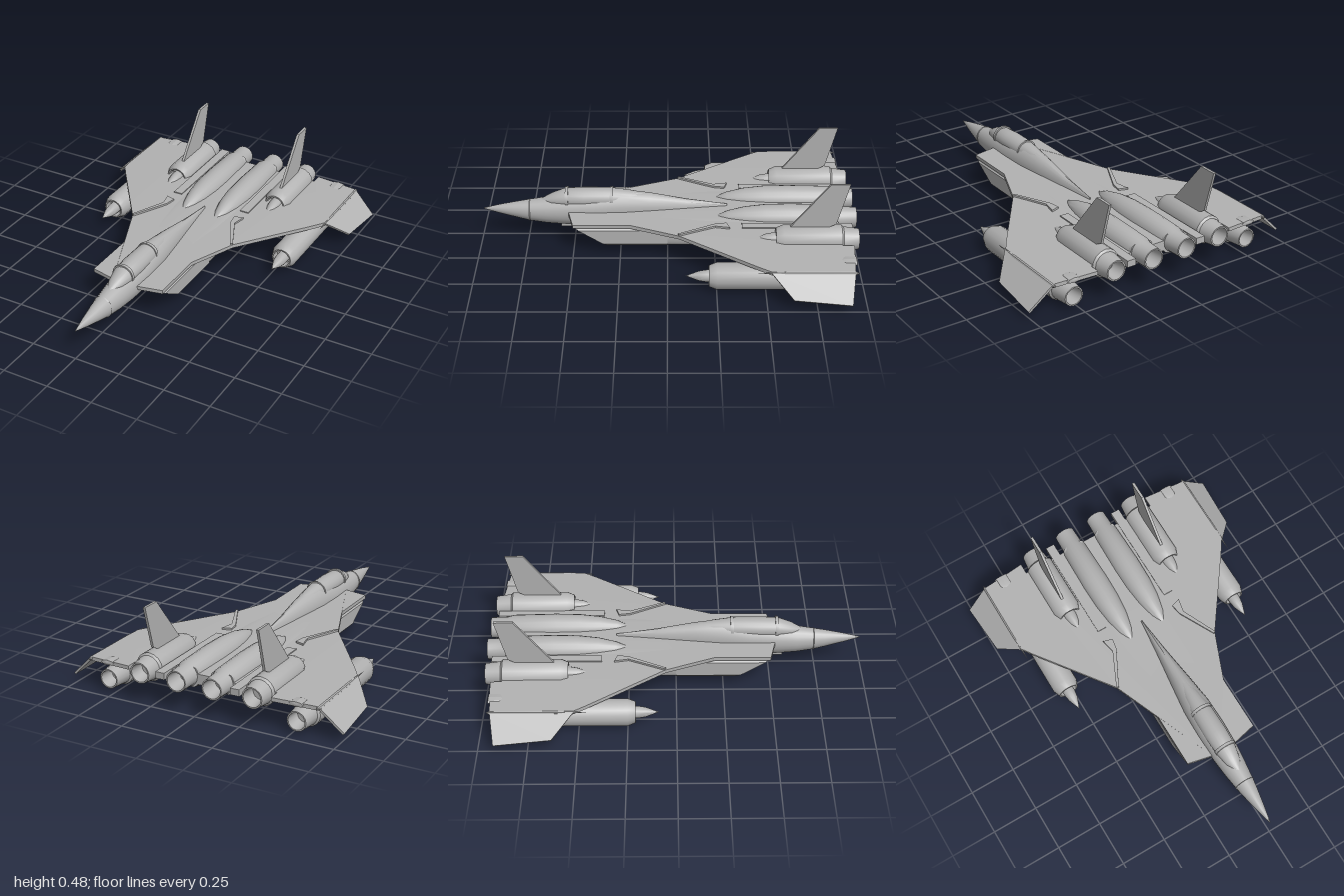
import * as THREE from 'three';
import { toCreasedNormals } from 'three/addons/utils/BufferGeometryUtils.js';

const grey = new THREE.MeshStandardMaterial({ color: 0xb2b2b2, side: THREE.DoubleSide });
grey.name = 'airframe grey';

export function createModel() {
  const model = new THREE.Group();
  model.name = 'jetAircraft';

  const add = (name, geo, x = 0, y = 0, z = 0) => {
    const mesh = new THREE.Mesh(toCreasedNormals(geo, 0.6), grey);
    mesh.name = name;
    mesh.position.set(x, y, z);
    model.add(mesh);
    return mesh;
  };
  const box = (name, x, y, z, w, h, d) => add(name, new THREE.BoxGeometry(w, h, d), x, y, z);

  // Skin through cross-sections [z, centreX, halfWidth, bottom, top], front to back
  const loft = (sections, power = 1, n = 20) => {
    const pos = [], idx = [];
    const bend = v => Math.sign(v) * Math.abs(v) ** power;
    sections.forEach(([z, cx, w, lo, hi]) => {
      for (let j = 0; j < n; j++) {
        const a = (j / n) * Math.PI * 2;
        pos.push(cx + w * bend(Math.cos(a)), (lo + hi) / 2 + (hi - lo) / 2 * bend(Math.sin(a)), z);
      }
    });
    for (let i = 0; i < sections.length - 1; i++) {
      for (let j = 0; j < n; j++) {
        const a = i * n + j, b = i * n + (j + 1) % n;
        idx.push(a, a + n, b, b, a + n, b + n);
      }
    }
    const last = (sections.length - 1) * n;
    for (let j = 1; j < n - 1; j++) idx.push(0, j, j + 1, last, last + j + 1, last + j);
    const geo = new THREE.BufferGeometry();
    geo.setAttribute('position', new THREE.Float32BufferAttribute(pos, 3));
    geo.setIndex(idx);
    return geo;
  };

  // Round body along z from [radius, z] points, back to front
  const turned = (profile, n = 16) =>
    new THREE.LatheGeometry(profile.map(p => new THREE.Vector2(...p)), n).rotateX(Math.PI / 2);

  // Flat plate from an [x, z] outline
  const plate = (outline, thick) => {
    const shape = new THREE.Shape(outline.map(([x, z]) => new THREE.Vector2(x, -z)));
    return new THREE.ExtrudeGeometry(shape, { depth: thick, bevelEnabled: false }).rotateX(-Math.PI / 2);
  };

  // Fuselage with the spine tapering to the rear
  add('fuselage', loft([
    [0.99, 0, 0.002, 0.165, 0.17], [0.9, 0, 0.022, 0.138, 0.19], [0.8, 0, 0.042, 0.113, 0.208],
    [0.74, 0, 0.052, 0.098, 0.218], [0.65, 0, 0.064, 0.085, 0.232], [0.55, 0, 0.074, 0.078, 0.25],
    [0.4, 0, 0.078, 0.075, 0.265], [0.25, 0, 0.073, 0.08, 0.277], [0.1, 0, 0.055, 0.09, 0.26],
    [-0.1, 0, 0.03, 0.1, 0.225], [-0.32, 0, 0.005, 0.13, 0.195],
  ]));
  add('noseRing', turned([[0.052, -0.004], [0.055, 0], [0.052, 0.004]], 20), 0, 0.158, 0.742).scale.y = 1.13;

  // Canopy and its frames
  add('canopy', loft([
    [0.68, 0, 0.012, 0.2, 0.226], [0.62, 0, 0.04, 0.19, 0.258], [0.55, 0, 0.055, 0.18, 0.285],
    [0.45, 0, 0.06, 0.18, 0.29], [0.32, 0, 0.057, 0.18, 0.29], [0.2, 0, 0.045, 0.18, 0.275], [0.05, 0, 0.02, 0.17, 0.25],
  ]));
  for (const z of [0.54, 0.3]) {
    add('canopyFrame', loft([[z + 0.008, 0, 0.06, 0.18, 0.293], [z - 0.008, 0, 0.06, 0.18, 0.294]]));
  }
  box('chinSensor', 0, 0.073, 0.54, 0.03, 0.02, 0.07);

  // Belly keel with vertical vanes in its front
  add('bellyKeel', loft([
    [0.32, 0, 0.05, 0.06, 0.13], [0.26, 0, 0.055, 0.03, 0.14], [0, 0, 0.055, 0.033, 0.15],
    [-0.2, 0, 0.05, 0.045, 0.16], [-0.5, 0, 0.045, 0.09, 0.16],
  ], 0.3));
  for (let i = -2; i <= 2; i++) box('keelVane', i * 0.019, 0.07, 0.3, 0.006, 0.06, 0.06);

  // Central hull behind the cockpit
  add('centreHull', loft([
    [0.2, 0, 0.18, 0.12, 0.18], [-0.4, 0, 0.19, 0.1, 0.185], [-0.7, 0, 0.2, 0.11, 0.185], [-0.9, 0, 0.18, 0.13, 0.185],
  ], 0.35));

  // Pod with an open front, a spike and a hollow nozzle
  const pod = (name, x, y, front, back, bodyBack, r) => {
    add(name, turned([
      [0, back + 0.08], [r * 0.5, back + 0.08], [r * 0.62, back], [r * 0.72, back], [r * 0.86, bodyBack - 0.01],
      [r, bodyBack], [r, front - 0.04], [r * 0.78, front], [r * 0.68, front], [r * 0.6, front - 0.04], [0, front - 0.04],
    ]), x, y);
    add(name + 'Spike', turned([
      [r * 0.45, front - 0.04], [r * 0.45, front + 0.01], [r * 0.36, front + 0.05], [0, front + 0.12],
    ]), x, y);
  };

  for (const s of [1, -1]) {
    // Wing with a slight downward slope
    const wing = plate([
      [0, 0.5], [0.07, 0.53], [0.205, 0.5], [0.205, 0.2], [0.31, -0.06], [0.6, -0.46], [0.64, -0.52],
      [0.64, -0.94], [0.4, -0.96], [0.4, -0.9], [0, -0.9],
    ].map(([x, z]) => [x * s, z]), 0.02);
    const p = wing.attributes.position;
    for (let i = 0; i < p.count; i++) p.setY(i, p.getY(i) + 0.162 - Math.max(0, Math.abs(p.getX(i)) - 0.2) * 0.02);
    add('wing', wing);
    add('wingGloveRidge', plate([
      [0.312, -0.06], [0.3, -0.055], [0.2, -0.25], [0.19, -0.31], [0.24, -0.325], [0.225, -0.25],
    ].map(([x, z]) => [x * s, z]), 0.012), 0, 0.178);

    // Drooped wing tip and the rail at its hinge
    const tip = add('wingTip', plate([
      [0, -0.52], [0.14, -0.63], [0.166, -0.92], [0, -0.94],
    ].map(([x, z]) => [x * s, z]), 0.012), s * 0.637, 0.16, 0);
    tip.rotation.z = -s * 0.76;
    add('tipRail', turned([[0, -0.96], [0.01, -0.94], [0.01, -0.6], [0, -0.45]], 8), s * 0.64, 0.165);
    add('flapActuator', turned([[0, -0.96], [0.013, -0.955], [0.013, -0.9], [0, -0.86]], 8), s * 0.53, 0.168).scale.x = 3;

    // Intake: hollow duct with a raked mouth, round fan hub inside
    const rect = (k, x0, x1, y0, y1, c) => k.moveTo(x0 + c, y0).lineTo(x1 - c, y0).lineTo(x1, y0 + c)
      .lineTo(x1, y1 - c).lineTo(x1 - c, y1).lineTo(x0 + c, y1).lineTo(x0, y1 - c).lineTo(x0, y0 + c).lineTo(x0 + c, y0);
    const duct = rect(new THREE.Shape(), -0.068, 0.068, 0.048, 0.165, 0.018);
    duct.holes.push(rect(new THREE.Path(), -0.058, 0.058, 0.058, 0.155, 0.014));
    const ductGeo = new THREE.ExtrudeGeometry(duct, { depth: 0.5, bevelEnabled: false });
    const q = ductGeo.attributes.position;
    for (let i = 0; i < q.count; i++) {
      if (q.getZ(i) > 0.25) q.setZ(i, 0.5 - (0.165 - q.getY(i)) * 1.6);
    }
    add('intakeDuct', ductGeo, s * 0.137);
    add('intakeFan', turned([[0.048, 0], [0.048, 0.2], [0.03, 0.22], [0.018, 0.25], [0, 0.27]]), s * 0.137, 0.107);
    add('engineTrunk', loft([
      [0.06, s * 0.137, 0.067, 0.049, 0.165], [-0.2, s * 0.135, 0.068, 0.045, 0.17],
      [-0.55, s * 0.115, 0.07, 0.05, 0.18], [-0.8, s * 0.1, 0.068, 0.09, 0.2], [-0.9, s * 0.1, 0.064, 0.11, 0.22],
    ], 0.5));
    const foot = box('bellyVent', s * 0.115, 0.038, -0.46, 0.09, 0.045, 0.2);
    foot.rotation.x = 0.06;
    for (const i of [-1, 0, 1]) box('ventSlat', s * 0.115 + i * 0.026, 0.035, -0.355, 0.012, 0.035, 0.03);

    // Centre engine with a long teardrop nose and hollow nozzle
    add('centreEngine', turned([
      [0, -0.9], [0.04, -0.9], [0.048, -1], [0.055, -1], [0.058, -0.91], [0.068, -0.88], [0.073, -0.65],
      [0.07, -0.52], [0.058, -0.41], [0.037, -0.32], [0.012, -0.26], [0, -0.25],
    ], 20), s * 0.1, 0.17);
    box('tailBoom', s * 0.21, 0.168, -0.68, 0.05, 0.035, 0.58);

    // Pods through the wing and slung below it
    pod('upperPod', s * 0.315, 0.167, -0.56, -0.99, -0.9, 0.076);
    pod('lowerPod', s * 0.53, 0.078, -0.21, -0.95, -0.84, 0.071);
    box('podPylon', s * 0.53, 0.15, -0.66, 0.03, 0.04, 0.36);

    // Tail fin on the upper pod
    const finShape = new THREE.Shape([
      [-0.62, 0.225], [-0.64, 0.25], [-0.83, 0.49], [-0.93, 0.49], [-0.87, 0.26], [-0.8, 0.225],
    ].map(v => new THREE.Vector2(...v)));
    const fin = new THREE.ExtrudeGeometry(finShape, { depth: 0.014, bevelEnabled: false });
    add('tailFin', fin.rotateY(-Math.PI / 2), s * 0.315 + 0.007);
  }
  return model;
}
